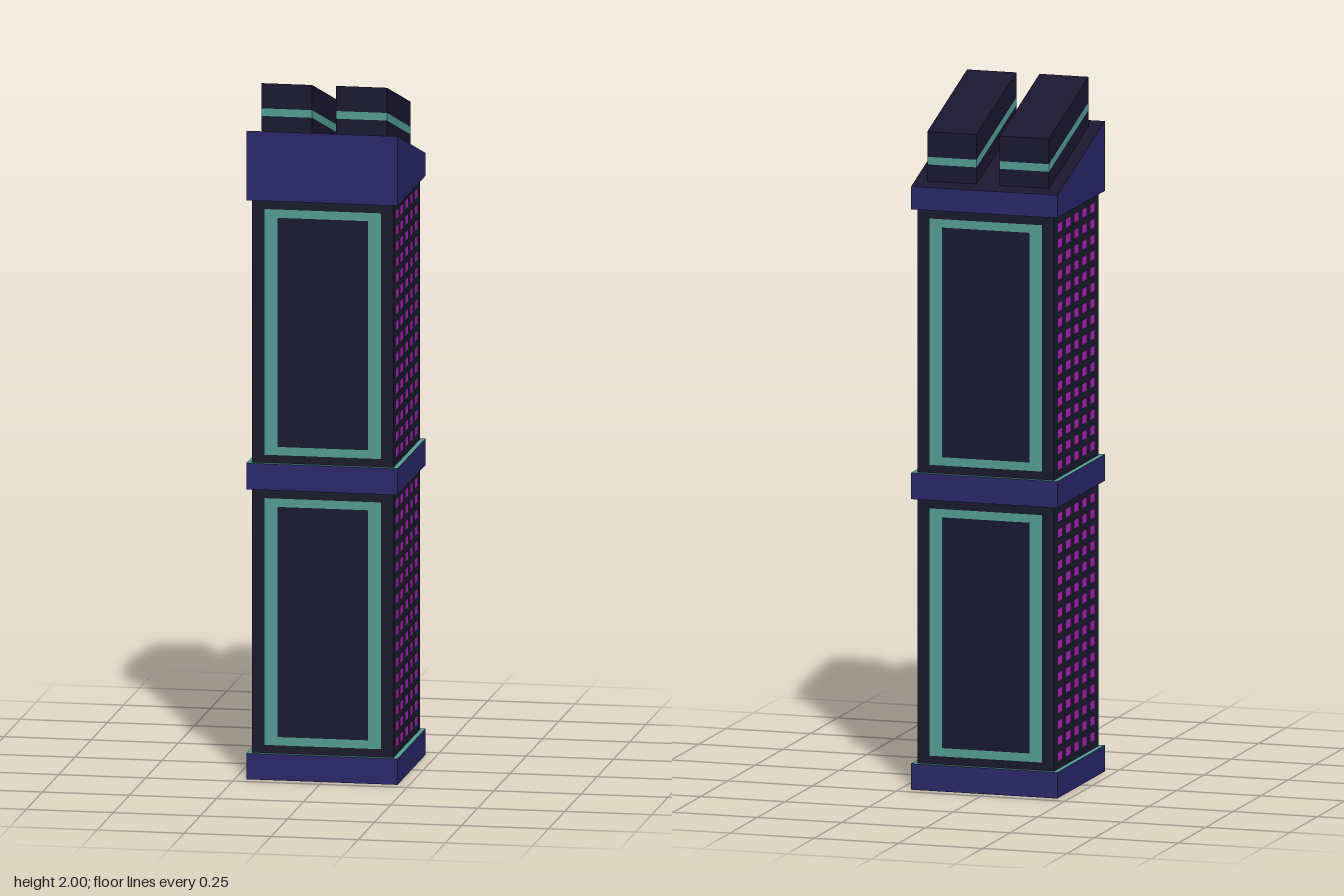
import * as THREE from 'three';
import { mergeGeometries } from 'three/addons/utils/BufferGeometryUtils.js';

const material = (color) => new THREE.MeshStandardMaterial({ color, side: THREE.DoubleSide, flatShading: true });
const WALL = material(0x18182b), PANEL = material(0x19162f), NAVY = material(0x292668),
  TEAL = material(0x529c92), MAGENTA = material(0xb01cb8);

const HALF = 0.203, BAND = 0.217, SLOPE = 0.311;

function add(parent, name, geometry, mat) {
  const mesh = new THREE.Mesh(geometry, mat);
  mesh.name = name;
  parent.add(mesh);
  return mesh;
}

// Open four-sided box; each rim rises toward the front by its own slope
function sides(w, d, y0, y1, slope0 = 0, slope1 = 0) {
  const g = new THREE.CylinderGeometry(Math.SQRT1_2, Math.SQRT1_2, 1, 4, 1, true).rotateY(Math.PI / 4);
  const p = g.attributes.position;
  for (let i = 0; i < p.count; i++) {
    const z = p.getZ(i) * d;
    p.setXYZ(i, p.getX(i) * w, p.getY(i) > 0 ? y1 + slope1 * z : y0 + slope0 * z, z);
  }
  const flat = g.toNonIndexed();
  flat.computeVertexNormals();
  return flat;
}

// Lid rising toward the front
function slopedLid(w, d, y) {
  const g = new THREE.PlaneGeometry(w, d).rotateX(-Math.PI / 2);
  const p = g.attributes.position;
  for (let i = 0; i < p.count; i++) p.setY(i, y + SLOPE * p.getZ(i));
  g.computeVertexNormals();
  return g;
}

function rectPath(PathType, x0, y0, x1, y1) {
  return new PathType([[x0, y0], [x1, y0], [x1, y1], [x0, y1]].map(([x, y]) => new THREE.Vector2(x, y)));
}

// Flat rectangle with rectangular openings
function sheet(rect, holes = []) {
  const s = rectPath(THREE.Shape, ...rect);
  holes.forEach((h) => s.holes.push(rectPath(THREE.Path, ...h)));
  return new THREE.ShapeGeometry(s);
}

// Flat ring between a band and the wall
function ledge(y, up) {
  return sheet([-BAND, -BAND, BAND, BAND], [[-HALF, -HALF, HALF, HALF]])
    .rotateX(up ? -Math.PI / 2 : Math.PI / 2).translate(0, y, 0);
}

// Wall with a framed dark panel
function framedWall(y0, y1) {
  const g = new THREE.Group();
  const outer = [-0.167, y0 + 0.023, 0.167, y1 - 0.026];
  const inner = [-0.13, y0 + 0.047, 0.13, y1 - 0.05];
  add(g, 'wallBorder', sheet([-HALF, y0, HALF, y1], [outer]), WALL);
  add(g, 'panelFrame', sheet(outer, [inner]), TEAL);
  add(g, 'panel', sheet(inner), PANEL);
  return g;
}

// Wall with a grid of 5 by 16 small windows
function windowWall(y0, y1) {
  const g = new THREE.Group(), windows = [];
  const first = y0 + 0.035, step = (y1 - y0 - 0.073) / 15;
  for (let c = -2; c <= 2; c++) {
    for (let r = 0; r < 16; r++) {
      const x = c * 0.0743, y = first + r * step;
      windows.push([x - 0.0185, y - 0.012, x + 0.0185, y + 0.012]);
    }
  }
  add(g, 'windowWallSurface', sheet([-HALF, y0, HALF, y1], windows), WALL);
  add(g, 'windows', mergeGeometries(windows.map((w) => sheet(w))), MAGENTA);
  return g;
}

export function createModel() {
  const model = new THREE.Group();
  model.name = 'tower';

  // Two storeys of walls: framed front and back, windows on both sides
  [['lower', 0.075, 0.835], ['upper', 0.911, 1.668]].forEach(([label, y0, y1]) => {
    ['Front', 'Left', 'Back', 'Right'].forEach((side, i) => {
      const wall = i % 2 ? windowWall(y0, y1) : framedWall(y0, y1);
      wall.name = `${label}${side}Wall`;
      const angle = i * Math.PI / 2;
      wall.rotation.y = angle;
      wall.position.set(Math.sin(angle) * HALF, 0, Math.cos(angle) * HALF);
      model.add(wall);
    });
  });

  // Base, middle and crown bands with their ledges
  const w = BAND * 2;
  add(model, 'baseBand', sides(w, w, 0, 0.075), NAVY);
  add(model, 'baseLedge', ledge(0.075, true), TEAL);
  add(model, 'middleBand', sides(w, w, 0.835, 0.911), NAVY);
  add(model, 'middleLedgeBottom', ledge(0.835, false), WALL);
  add(model, 'middleLedgeTop', ledge(0.911, true), TEAL);
  add(model, 'crownBand', sides(w, w, 1.668, 1.801, 0, SLOPE), NAVY);
  add(model, 'crownLedge', ledge(1.668, false), WALL);
  add(model, 'roof', slopedLid(w, w, 1.801), PANEL);

  // Two slanted roof blocks, each with a stripe around it
  [['left', 1], ['right', -1]].forEach(([label, s]) => {
    const block = new THREE.Group();
    block.name = `${label}RoofBlock`;
    block.position.x = s * 0.1075;
    const bw = 0.146, bd = 0.363;
    add(block, 'blockBase', sides(bw, bd, 1.801, 1.849, SLOPE, SLOPE), PANEL);
    add(block, 'blockStripe', sides(bw, bd, 1.849, 1.871, SLOPE, SLOPE), TEAL);
    add(block, 'blockUpper', sides(bw, bd, 1.871, 1.9435, SLOPE, SLOPE), PANEL);
    add(block, 'blockTop', slopedLid(bw, bd, 1.9435), PANEL);
    model.add(block);
  });

  return model;
}
